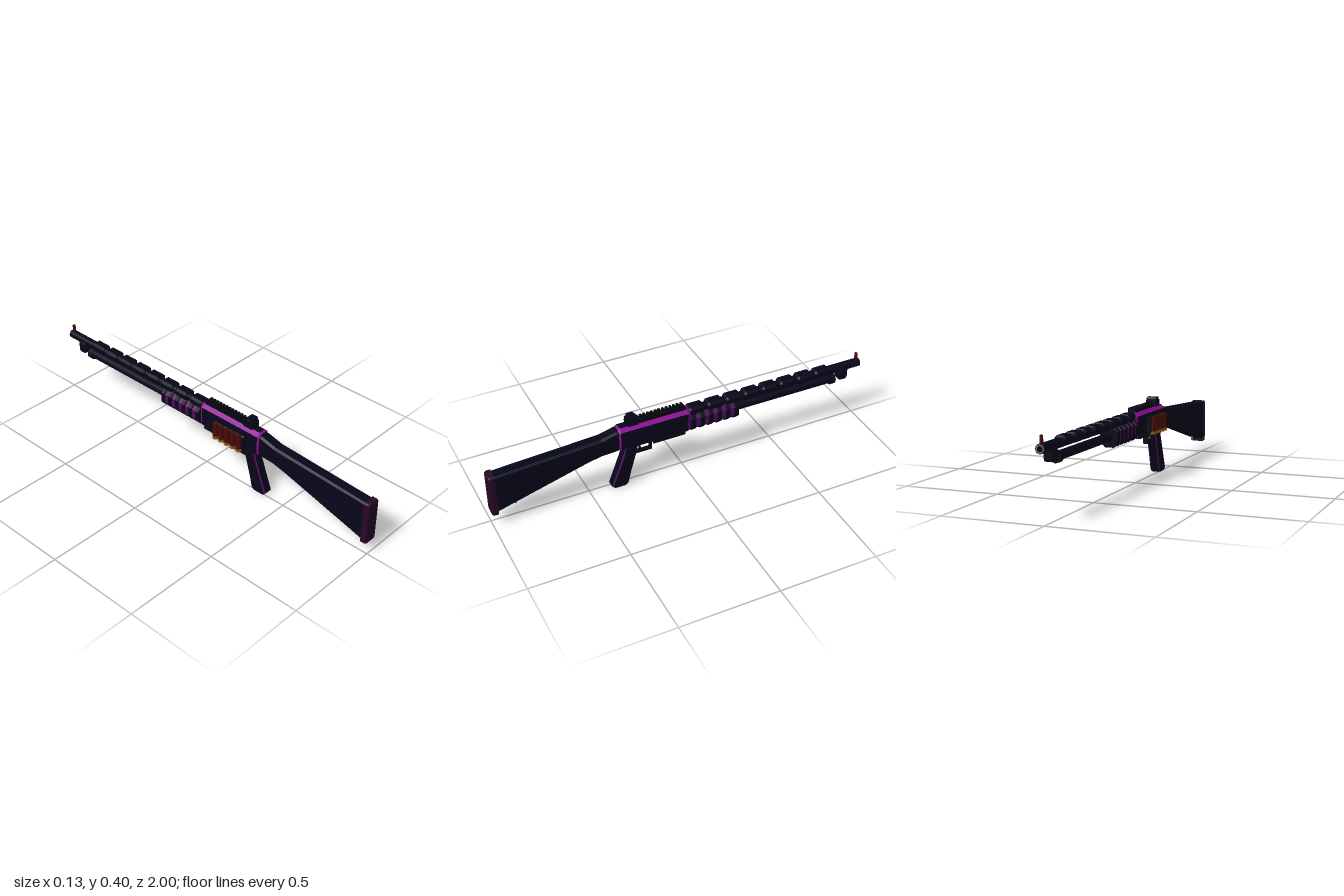
import * as THREE from 'three';

const paint = (name, color) => Object.assign(new THREE.MeshStandardMaterial({ color }), { name });

export function createModel() {
  const navy = paint('dark navy', 0x06061a);
  const black = paint('near black', 0x06060f);
  const magenta = paint('bright magenta trim', 0x8e0c98);
  const purple = paint('dark magenta trim', 0x560a5c);
  const plum = paint('plum rubber', 0x280824);
  const red = paint('shell red', 0x480c08);
  const brass = paint('brass', 0x8a5e16);
  const steel = paint('steel', 0x66676e);

  const model = new THREE.Group();
  model.name = 'model';
  const gun = new THREE.Group();
  gun.name = 'gun';
  gun.position.x = 0.016;
  model.add(gun);

  const add = (name, geo, mat, x = 0, y = 0, z = 0) => {
    const m = new THREE.Mesh(geo, mat);
    m.name = name;
    m.position.set(x, y, z);
    gun.add(m);
    return m;
  };
  const box = (name, mat, w, h, d, x, y, z) => add(name, new THREE.BoxGeometry(w, h, d), mat, x, y, z);
  const rod = (name, mat, r, y, z0, z1, sides = 10) =>
    add(name, new THREE.CylinderGeometry(r, r, z1 - z0, sides).rotateX(Math.PI / 2), mat, 0, y, (z0 + z1) / 2);

  // Loft of chamfered rectangles along z. Section: [z, halfWidth, yMin, yMax, topChamfer, bottomChamfer]
  // Materials: 0 flats, 1 chamfers, 2 end caps; bands listed in trimBands use 1 all round.
  const loft = (name, sections, mats, trimBands = []) => {
    const rings = sections.map(([z, w, a, b, t, c = t]) => [
      [w, a + c], [w, b - t], [w - t, b], [t - w, b], [-w, b - t], [-w, a + c], [c - w, a], [w - c, a],
    ].map(([x, y]) => [x, y, z]));
    const faces = [[], [], []];
    for (let k = 0; k < rings.length - 1; k++) {
      for (let i = 0; i < 8; i++) {
        const j = (i + 1) % 8, p = rings[k], q = rings[k + 1];
        const slot = trimBands.includes(k) ? 1 : i % 2;
        faces[slot].push(...p[i], ...p[j], ...q[j], ...p[i], ...q[j], ...q[i]);
      }
    }
    const first = rings[0], last = rings[rings.length - 1];
    for (let i = 1; i < 7; i++) {
      faces[2].push(...last[0], ...last[i], ...last[i + 1], ...first[0], ...first[i + 1], ...first[i]);
    }
    const geo = new THREE.BufferGeometry();
    geo.setAttribute('position', new THREE.Float32BufferAttribute(faces.flat(), 3));
    let start = 0;
    faces.forEach((f, i) => { geo.addGroup(start, f.length / 3, i); start += f.length / 3; });
    geo.computeVertexNormals();
    return add(name, geo, mats);
  };
  const all = (m) => [m, m, m];

  // Stock, butt pad and sling stud
  loft('stock', [
    [0.33, 0.031, 0.226, 0.34, 0.01], [0.36, 0.031, 0.224, 0.34, 0.01], [0.44, 0.031, 0.22, 0.32, 0.01],
    [0.52, 0.032, 0.203, 0.315, 0.01], [0.975, 0.032, 0.077, 0.289, 0.008],
  ], all(navy));
  loft('buttPad', [
    [0.97, 0.036, 0.064, 0.294, 0.007], [0.992, 0.036, 0.064, 0.294, 0.007], [1.0, 0.032, 0.069, 0.289, 0.007],
  ], all(plum));
  add('slingStud', new THREE.CylinderGeometry(0.006, 0.006, 0.03, 8), steel, 0, 0.097, 0.875);

  // Receiver with bright bevels
  loft('receiver', [
    [-0.026, 0.031, 0.23, 0.346, 0.016, 0.01], [-0.013, 0.037, 0.223, 0.352, 0.018, 0.011],
    [0.342, 0.037, 0.223, 0.352, 0.018, 0.011], [0.35, 0.031, 0.23, 0.346, 0.016, 0.01],
  ], [navy, magenta, magenta], [0, 2]);
  box('loadingPlate', black, 0.08, 0.011, 0.17, 0, 0.2255, 0.09);
  box('ejectionPort', navy, 0.004, 0.045, 0.13, 0.036, 0.293, 0.08);

  // Top rail with teeth
  box('rail', black, 0.04, 0.014, 0.31, 0, 0.356, 0.147);
  for (let i = 0; i < 16; i++) box('railTooth', black, 0.044, 0.01, 0.011, 0, 0.367, 0.297 - i * 0.0196);

  // Rear sight: full-width base and raised block
  box('rearSightBase', navy, 0.052, 0.032, 0.056, 0, 0.366, 0.271);
  loft('rearSightBlock', [[0.25, 0.026, 0.37, 0.388, 0.001], [0.257, 0.026, 0.37, 0.396, 0.001],
    [0.29, 0.026, 0.37, 0.396, 0.001]], all(navy));

  // Pistol grip, lofted upwards then stood upright
  const grip = [[0.0, 0.315, 0.38, 0.022], [0.014, 0.304, 0.392, 0.026], [0.08, 0.288, 0.367, 0.026],
    [0.19, 0.256, 0.326, 0.026], [0.228, 0.25, 0.318, 0.026]];
  loft('grip', grip.map(([y, z0, z1, w]) => [y, w, -z1, -z0, 0.006]), [navy, purple, navy]).rotation.x = -Math.PI / 2;

  // Trigger and guard
  box('guardBottom', black, 0.022, 0.009, 0.1, 0, 0.172, 0.222);
  box('guardFront', black, 0.022, 0.055, 0.009, 0, 0.198, 0.176);
  box('trigger', black, 0.012, 0.045, 0.009, 0, 0.205, 0.236).rotation.x = 0.25;

  // Ribbed pump handle
  const foreCore = [0.043, 0.225, 0.32, 0.024];
  loft('pumpCore', [[-0.28, ...foreCore], [-0.036, ...foreCore]], all(purple));
  const rib = [0.047, 0.22, 0.325, 0.026];
  for (let i = 0; i < 6; i++) {
    const z1 = -0.028 - i * 0.0465;
    const z0 = i === 5 ? -0.288 : z1 - 0.026;
    loft('pumpRib', [[z0, 0.043, 0.224, 0.321, 0.025], [z0 + 0.004, ...rib], [z1 - 0.004, ...rib],
      [z1, 0.043, 0.224, 0.321, 0.025]], all(navy));
  }

  // Hollow barrel with a steel muzzle ring
  const barrelProfile = [[0.0225, 0], [0.0225, 0.979], [0.014, 0.979]].map(([r, y]) => new THREE.Vector2(r, y));
  const barrel = new THREE.LatheGeometry(barrelProfile, 12).toNonIndexed().rotateX(-Math.PI / 2);
  barrel.computeVertexNormals();
  add('barrel', barrel, navy, 0, 0.325, -0.02);
  add('muzzleRing', new THREE.RingGeometry(0.013, 0.02, 12).rotateY(Math.PI), steel, 0, 0.325, -1);
  const bore = paint('bore black', 0x08080e);
  bore.side = THREE.DoubleSide;
  add('bore', new THREE.CylinderGeometry(0.014, 0.014, 0.1, 12, 1, true).rotateX(Math.PI / 2), bore, 0, 0.325, -0.949);
  add('boreEnd', new THREE.CircleGeometry(0.014, 12), bore, 0, 0.325, -0.9);

  // Segmented heat shield over the barrel
  for (let i = 0; i < 8; i++) {
    const z = -0.772 + i * 0.101, w = i === 0 ? 0.028 : 0.031;
    loft('heatShield', [[z - 0.041, w - 0.006, 0.312, 0.346, 0.008], [z - 0.032, w, 0.308, 0.354, 0.011],
      [z + 0.032, w, 0.308, 0.354, 0.011], [z + 0.041, w - 0.006, 0.312, 0.346, 0.008]], all(navy));
  }

  // Magazine tube, cap, barrel clamp and front sight
  rod('magazineTube', navy, 0.022, 0.27, -0.84, -0.27);
  rod('magazineCap', navy, 0.028, 0.268, -0.855, -0.825);
  loft('barrelClamp', [[-0.925, 0.02, 0.266, 0.32, 0.005], [-0.915, 0.024, 0.257, 0.32, 0.005],
    [-0.885, 0.024, 0.257, 0.32, 0.005], [-0.875, 0.02, 0.266, 0.32, 0.005]], all(navy));
  add('frontSight', new THREE.CylinderGeometry(0.008, 0.008, 0.044, 8), red, 0, 0.36, -0.983);

  // Side carrier with five spare shells
  loft('shellCarrier', [[0.085, 0.011, 0.237, 0.319, 0.006], [0.092, 0.0135, 0.237, 0.319, 0.006],
    [0.272, 0.0135, 0.237, 0.319, 0.006], [0.279, 0.011, 0.237, 0.319, 0.006]], all(navy)).position.x = -0.0515;
  for (let i = 0; i < 5; i++) {
    const z = 0.108 + i * 0.037;
    add('shell', new THREE.CylinderGeometry(0.015, 0.015, 0.073, 10), red, -0.068, 0.2825, z);
    add('shellBase', new THREE.CylinderGeometry(0.016, 0.016, 0.015, 10), brass, -0.068, 0.2385, z);
  }

  return model;
}
